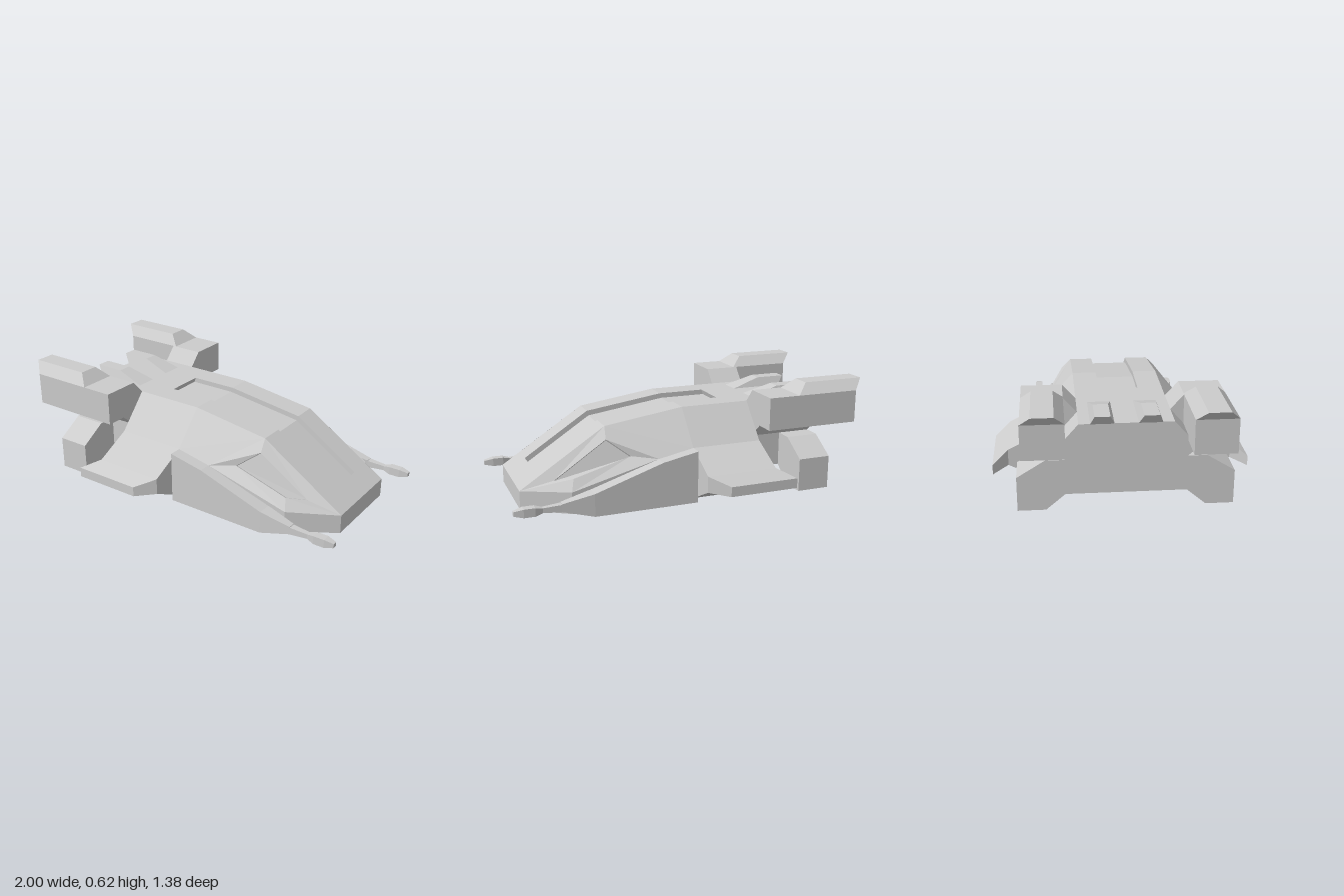
import * as THREE from 'three';

export function createModel() {
  const model = new THREE.Group();
  const material = new THREE.MeshStandardMaterial({
    color: 0xcccccc, flatShading: true, side: THREE.DoubleSide,
  });

  // Triangles from polygons; the first corner of each must see all the others
  const fan = (polys) => polys.flatMap((p) =>
    p.slice(2).flatMap((c, i) => [p[0], p[i + 1], c]));

  function addMesh(name, tris) {
    const geometry = new THREE.BufferGeometry();
    geometry.setAttribute('position', new THREE.Float32BufferAttribute(tris.flat(), 3));
    geometry.computeVertexNormals();
    const mesh = new THREE.Mesh(geometry, material);
    mesh.name = name;
    model.add(mesh);
  }

  // Open panels, turned so that they face away from the hull's core
  function panels(name, polys) {
    const core = new THREE.Vector3(0.1, 0.15, 0);
    const v = (p) => new THREE.Vector3(...p);
    const tris = fan(polys);
    for (let i = 0; i < tris.length; i += 3) {
      const [a, b, c] = tris.slice(i, i + 3).map(v);
      const n = b.clone().sub(a).cross(c.clone().sub(a));
      const out = a.clone().add(b).add(c).divideScalar(3).sub(core);
      if (n.dot(out) < 0) [tris[i + 1], tris[i + 2]] = [tris[i + 2], tris[i + 1]];
    }
    addMesh(name, tris);
  }

  // Closed solid through a row of equal-sized rings, wound outward
  function loft(name, rings) {
    const polys = [[...rings[0]].reverse(), rings.at(-1)];
    for (let r = 0; r < rings.length - 1; r++) {
      const a = rings[r], b = rings[r + 1], n = a.length;
      for (let i = 0; i < n; i++) {
        const j = (i + 1) % n;
        polys.push([a[i], a[j], b[j], b[i]]);
      }
    }
    // keep the fan's start corner on the reversed cap
    polys[0].unshift(polys[0].pop());
    const tris = fan(polys);
    let volume = 0;
    for (let i = 0; i < tris.length; i += 3) {
      const [a, b, c] = tris.slice(i, i + 3).map((p) => new THREE.Vector3(...p));
      volume += a.dot(b.cross(c));
    }
    addMesh(name, volume < 0 ? tris.reverse() : tris);
  }

  // Ring helpers: x-section from [z, y] pairs, level and upright rectangles
  const prism = (name, section, x0, x1) =>
    loft(name, [x0, x1].map((x) => section.map(([z, y]) => [x, y, z])));
  const level = (y, x0, x1, z0, z1) => [[x0, y, z0], [x1, y, z0], [x1, y, z1], [x0, y, z1]];
  const upright = (x, y0, y1, z0, z1) => [[x, y0, z0], [x, y1, z0], [x, y1, z1], [x, y0, z1]];

  // Roof with a long sunken channel
  const roof = [[-0.4, 0.48], [-0.27, 0.48], [0, 0.48], [0.45, 0.415], [0.82, 0.173], [0.925, 0.105]];
  const W = 0.24, C = 0.107;
  const at = ([x, y], z) => [x, y, z];
  const sunk = ([x, y]) => [x - 0.01, y - 0.028];
  const roofPanels = [], channel = [];
  for (let i = 0; i < roof.length - 1; i++) {
    const a = roof[i], b = roof[i + 1];
    for (const s of [1, -1]) {
      roofPanels.push([at(a, s * C), at(b, s * C), at(b, s * W), at(a, s * W)]);
      if (i > 0 && i < 4) {
        channel.push([at(a, s * C), at(b, s * C), at(sunk(b), s * C), at(sunk(a), s * C)]);
      }
    }
    if (i === 0 || i === 4) roofPanels.push([at(a, C), at(b, C), at(b, -C), at(a, -C)]);
    else channel.push([at(sunk(a), C), at(sunk(b), C), at(sunk(b), -C), at(sunk(a), -C)]);
  }
  for (const p of [roof[1], roof[4]]) {
    channel.push([at(p, C), at(p, -C), at(sunk(p), -C), at(sunk(p), C)]);
  }
  panels('roof', roofPanels);
  panels('roofChannel', channel);

  // Belly, nose face and the step behind the belly
  panels('belly', [
    [[0.925, 0, W], [0.68, 0, 0.4], [0, 0, 0.41], [-0.4, 0, 0.41],
      [-0.4, 0, -0.41], [0, 0, -0.41], [0.68, 0, -0.4], [0.925, 0, -W]],
  ]);
  panels('noseFace', [upright(0.925, 0, 0.105, -W, W)]);
  panels('rearStep', [upright(-0.4, 0, 0.1, -W, W)]);

  // Rear fuselage
  prism('rearFuselage', [[W, 0.48], [0.31, 0.29], [0.31, 0.1],
    [-0.31, 0.1], [-0.31, 0.29], [-W, 0.48]], -0.765, -0.4);

  for (const s of [1, -1]) {
    const side = s > 0 ? 'left' : 'right'.replace('right', 'right');
    const name = (part) => part + (s > 0 ? 'Right' : 'Left');
    const flip = (section) => section.map(([z, y]) => [s * z, y]);
    const m = ([x, y, z]) => [x, y, s * z];

    // Hull side, cheek and chamfered nose corner
    const A = [0.2, 0.25, 0.41], B = [0.45, 0.415, W], N = [0.925, 0.105, W], D = [0.68, 0.12, 0.4];
    panels(name('hullSide'), [
      [[0, 0.29, 0.41], A, B, [0, 0.48, W]],
      [[0, 0, 0.41], [0.2, 0, 0.41], A, [0, 0.29, 0.41]],
      [[0.2, 0, 0.41], [0.68, 0, 0.4], D, A],
      [[0.68, 0, 0.4], [0.925, 0, W], N, D],
    ].map((p) => p.map(m)));

    // Window frame around a recessed pane
    const outer = [A, B, N, D];
    const inner = [[0.34, 0.265, 0.35], [0.46, 0.355, 0.295], [0.745, 0.155, 0.28], [0.66, 0.18, 0.362]];
    const pane = inner.map(([x, y, z]) => [x - 0.006, y - 0.01, z - 0.02]);
    const band = (p, q) => p.map((c, i) => {
      const j = (i + 1) % 4;
      return [c, p[j], q[j], q[i]].map(m);
    });
    panels(name('windowFrame'), [...band(outer, inner), ...band(inner, pane)]);
    panels(name('windowPane'), [pane.map(m)]);

    // Wing root and swept wing tip
    prism(name('wing'), flip([[W, 0], [W, 0.48], [0.41, 0.29], [0.61, 0.19],
      [0.61, 0.1], [0.41, 0]]), -0.4, 0);
    loft(name('wingTip'), [
      [[-0.4, 0.1, 0.61], [0, 0.1, 0.61], [0, 0.19, 0.61], [-0.4, 0.19, 0.61]].map(m),
      [[-0.49, 0.09, 0.69], [-0.1, 0.09, 0.69], [-0.1, 0.145, 0.69], [-0.49, 0.145, 0.69]].map(m),
    ]);

    // Fender tapering into a slim gun
    loft(name('fender'), [
      [0, 0, 0.29, 0.4, 0.48], [0.2, 0, 0.25, 0.4, 0.48],
      [0.58, 0, 0.125, 0.4, 0.48], [0.75, 0.045, 0.088, 0.425, 0.465],
    ].map((r) => upright(...r).map(m)));
    loft(name('gun'), [
      [0.75, 0.02], [0.85, 0.013], [0.89, 0.023], [0.95, 0.023], [1, 0.012],
    ].map(([x, h]) => upright(x, 0.065 - h, 0.065 + h, 0.446 - h, 0.446 + h).map(m)));

    // Upper engine: pylon, box and overhanging cap
    prism(name('pylonUnderside'), flip([[0.31, 0.29], [W, 0.48], [0.31, 0.4],
      [0.41, 0.4], [0.41, 0.375]]), -0.765, -0.4);
    prism(name('pylon'), flip([[0.31, 0.375], [W, 0.48], [0.31, 0.557]]), -0.6, -0.4);
    prism(name('upperEngine'), flip([[0.31, 0.375], [0.525, 0.375], [0.525, 0.557], [0.31, 0.557]]), -0.94, -0.4);
    loft(name('upperEngineCap'), [
      level(0.557, -0.94, -0.58, 0.31, 0.525).map(m),
      level(0.615, -1, -0.645, 0.36, 0.47).map(m),
    ]);

    // Lower engine reaching out from the waist
    prism(name('lowerEngine'), flip([[0.31, 0.29], [0.41, 0.29], [0.555, 0.2],
      [0.555, 0.015], [0.41, 0.015], [0.31, 0.1]]), -0.765, -0.58);

    // Roof fin
    loft(name('roofFin'), [
      level(0.478, -0.765, -0.46, 0.06, 0.182).map(m),
      level(0.532, -0.805, -0.635, 0.083, 0.162).map(m),
    ]);
  }
  return model;
}
